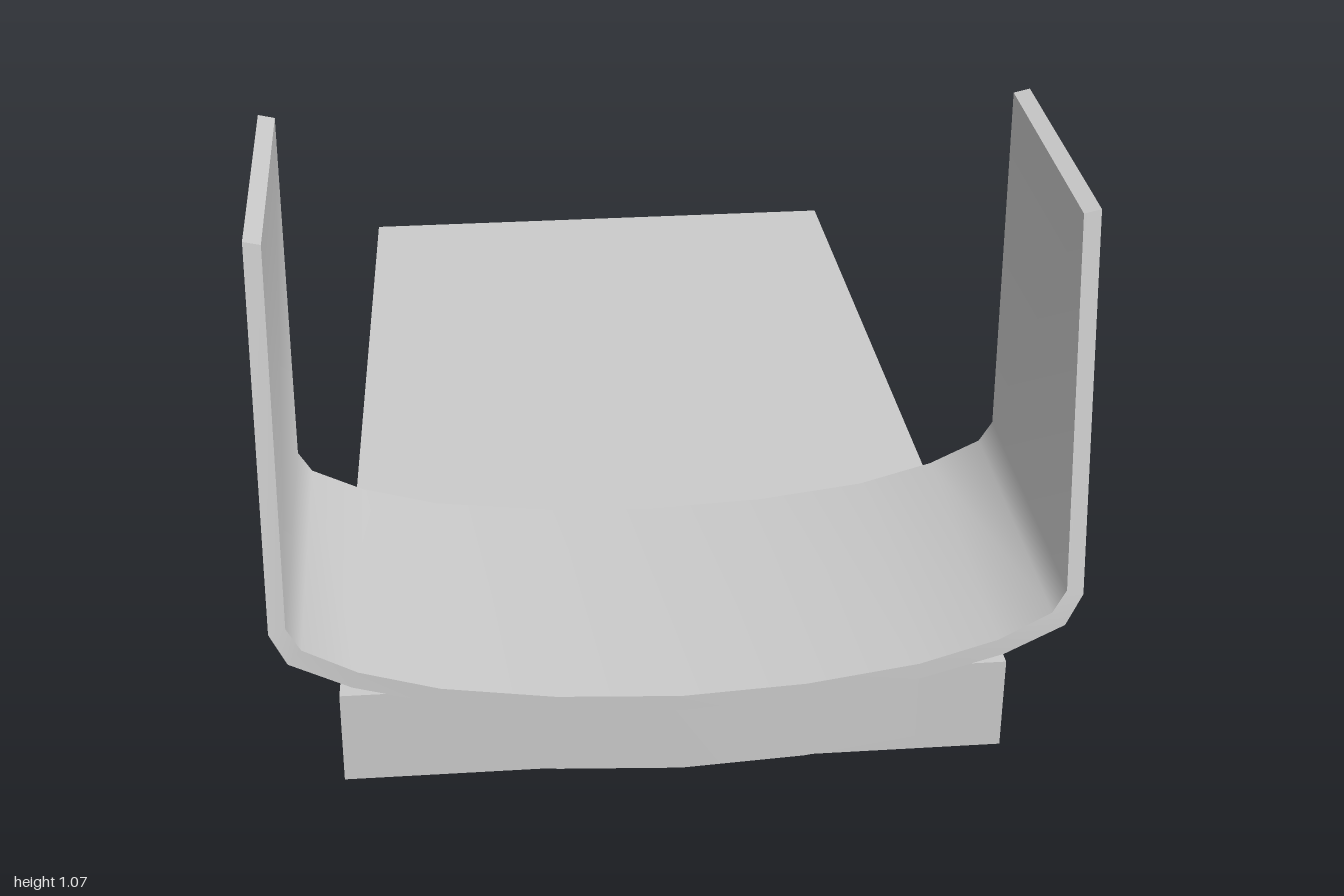
import * as THREE from 'three';
import { toCreasedNormals } from 'three/addons/utils/BufferGeometryUtils.js';

const material = new THREE.MeshStandardMaterial({ color: 0xcccccc });

// Skins four-cornered sections running from -x to +x and caps both ends.
// Corner order: front bottom, back bottom, back top, front top.
function loft(name, sections) {
  const index = [];
  const last = (sections.length - 1) * 4;
  for (let s = 0; s < last; s += 4) {
    for (let k = 0; k < 4; k++) {
      const a = s + k, a1 = s + (k + 1) % 4;
      index.push(a, a1, a1 + 4, a, a1 + 4, a + 4);
    }
  }
  index.push(0, 2, 1, 0, 3, 2);
  index.push(last, last + 1, last + 2, last, last + 2, last + 3);
  const geometry = new THREE.BufferGeometry();
  geometry.setAttribute('position', new THREE.Float32BufferAttribute(sections.flat(2), 3));
  geometry.setIndex(index);
  const mesh = new THREE.Mesh(toCreasedNormals(geometry, 0.75), material);
  mesh.name = name;
  return mesh;
}

// Completes a half list of sections (starting at x = 0) with its mirror image.
function mirrored(half) {
  const left = half.slice(1).reverse().map(sec => sec.map(([x, y, z]) => [-x, y, z]));
  return [...left, ...half];
}

export function createModel() {
  const group = new THREE.Group();
  group.name = 'strapStand';

  // Tapered base slab
  group.add(loft('baseSlab', [-1, 1].map(s => [
    [s * 0.6, 0, 0.9], [s * 0.54, 0.015, -1], [s * 0.54, 0.18, -1], [s * 0.6, 0.185, 0.9],
  ])));

  // Half profile: inner x, inner y, outer x, outer y, front z, back z, back drop
  const profile = [
    [0, 0.222, 0, 0.192, 1, 0.367, 0.017],
    [0.22, 0.232, 0.22, 0.202, 0.997, 0.367, 0.017],
    [0.42, 0.257, 0.425, 0.226, 0.99, 0.366, 0.017],
    [0.56, 0.295, 0.572, 0.264, 0.983, 0.364, 0.016],
    [0.655, 0.34, 0.68, 0.312, 0.973, 0.362, 0.015],
    [0.68, 0.38, 0.71, 0.37, 0.965, 0.36, 0.015],
    [0.68, 1.06, 0.71, 1.067, 0.855, 0.33, 0.004],
  ];

  // Curved strap with two upright arms
  group.add(loft('strap', mirrored(profile.map(([xi, yi, xo, yo, zf, zb, drop]) => [
    [xo, yo, zf], [xo, yo - drop, zb], [xi, yi - drop, zb], [xi, yi, zf],
  ]))));

  // Mounting block under the strap, lipped over the slab's front edge
  const bottoms = [0.065, 0.075, 0.1];
  group.add(loft('mountingBlock', mirrored(bottoms.map((y, i) => {
    const [x, , , top, zf, zb, drop] = profile[i];
    return [[x, y, zf], [x, y, zb + 0.005], [x, top - drop, zb + 0.005], [x, top, zf]];
  }))));

  return group;
}
